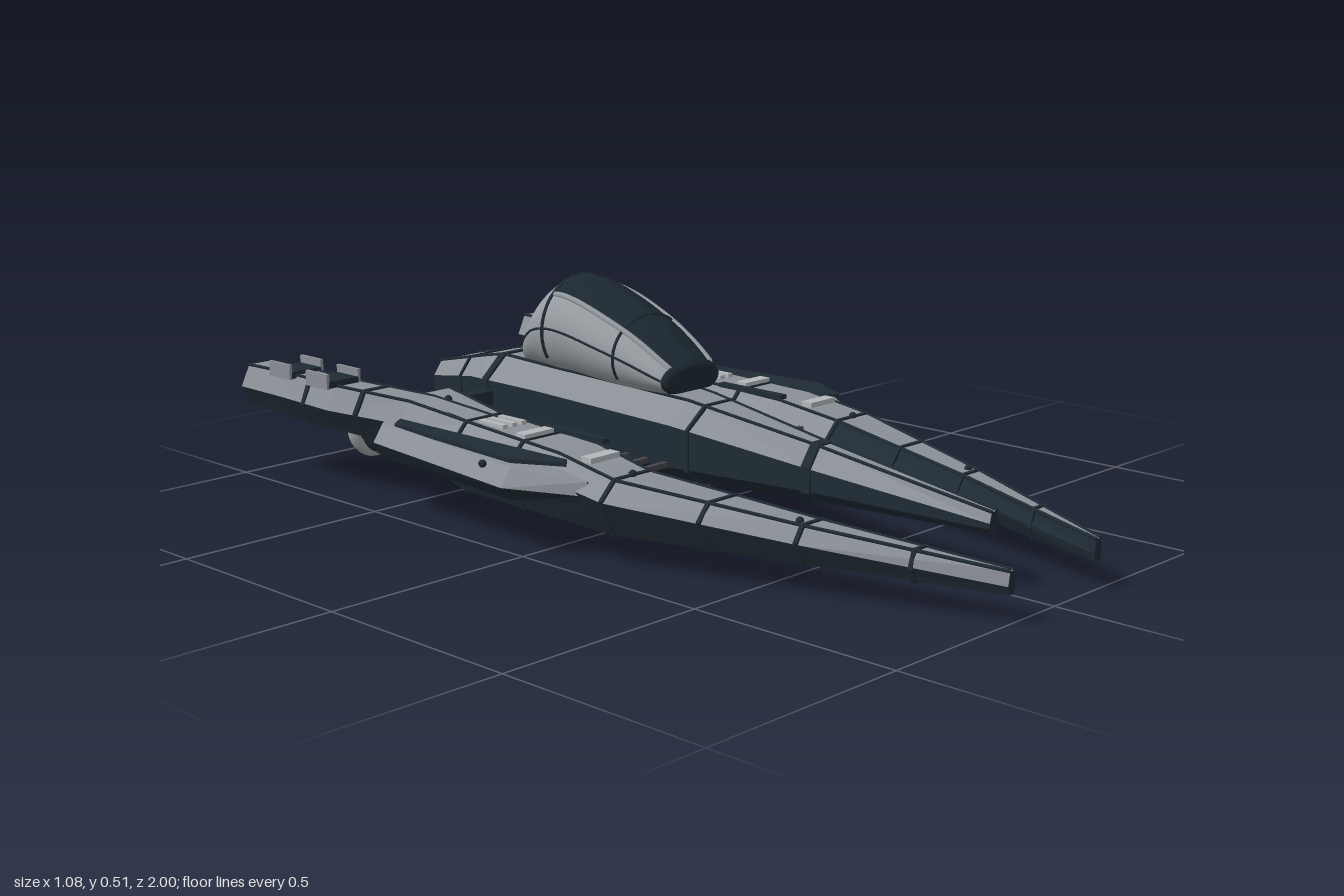
import * as THREE from 'three';
import { mergeVertices } from 'three/addons/utils/BufferGeometryUtils.js';

export function createModel() {
  const model = new THREE.Group();
  const paint = (name, color, more = {}) => Object.assign(new THREE.MeshStandardMaterial({ color, ...more }), { name });
  const hull = paint('hull grey', 0x8b9097);
  const dark = paint('dark slate', 0x1f2b34);
  const canopyGrey = paint('canopy grey', 0x979ca1, { side: THREE.DoubleSide });
  const glass = paint('canopy glass', 0x1b2730, { side: THREE.DoubleSide });
  const ringGrey = paint('ring grey', 0xa2a7aa);
  const metal = paint('engine metal', 0x45444a);
  const tabGrey = paint('tab grey', 0xb4b8bb);

  const add = (name, geo, mat, x = 0, y = 0, z = 0) => {
    const m = new THREE.Mesh(geo, mat);
    m.name = name;
    m.position.set(x, y, z);
    model.add(m);
    return m;
  };
  const box = (name, mat, w, h, d, x, y, z) => add(name, new THREE.BoxGeometry(w, h, d), mat, x, y, z);
  const rod = (name, mat, r, a, b) => {
    const A = new THREE.Vector3(...a), B = new THREE.Vector3(...b), d = B.clone().sub(A);
    const m = add(name, new THREE.CylinderGeometry(r, r, d.length(), 6), mat);
    m.position.copy(A).add(B).multiplyScalar(0.5);
    m.quaternion.setFromUnitVectors(new THREE.Vector3(0, 1, 0), d.normalize());
  };

  // Skin through cross-sections running front to back; pick(i, j) gives the material index of a strip
  function loft(name, rings, mats, pick, { side = 1, closed = true, caps = true, smooth = false } = {}) {
    const tris = mats.map(() => []);
    const put = (k, a, b, c) => {
      for (const p of side > 0 ? [a, b, c] : [a, c, b]) tris[k].push(p[0] * side, p[1], p[2]);
    };
    const n = rings[0].length;
    for (let i = 0; i < rings.length - 1; i++) {
      for (let j = 0; j < (closed ? n : n - 1); j++) {
        const q = (j + 1) % n, k = pick(i, j);
        const a = rings[i][j], b = rings[i][q], c = rings[i + 1][q], d = rings[i + 1][j];
        put(k, a, d, b);
        put(k, b, d, c);
      }
    }
    if (caps) {
      const f = rings[0], r = rings[rings.length - 1];
      for (let j = 1; j < n - 1; j++) {
        put(0, f[0], f[j], f[j + 1]);
        put(0, r[0], r[j + 1], r[j]);
      }
    }
    let geo = new THREE.BufferGeometry();
    geo.setAttribute('position', new THREE.Float32BufferAttribute(tris.flat(), 3));
    let start = 0;
    tris.forEach((t, k) => { geo.addGroup(start, t.length / 3, k); start += t.length / 3; });
    if (smooth) geo = mergeVertices(geo, 1e-5);
    geo.computeVertexNormals();
    return add(name, geo, mats);
  }

  // Cross-section of a hull at depth z, interpolated between stations
  function stationAt(st, z) {
    let i = 0;
    while (i < st.length - 2 && st[i + 1][0] > z) i++;
    const t = (st[i][0] - z) / (st[i][0] - st[i + 1][0]);
    return st[i].map((v, k) => v + (st[i + 1][k] - v) * t);
  }
  // Thin dark seam wrapped around a hull
  function seam(name, st, ring, z, width, side = 1) {
    const grow = (zz) => {
      const r = ring(stationAt(st, zz));
      const cx = r.reduce((s, p) => s + p[0], 0) / r.length, cy = r.reduce((s, p) => s + p[1], 0) / r.length;
      return r.map(([x, y, d]) => [x + 0.004 * Math.sign(x - cx), y + 0.004 * Math.sign(y - cy), d]);
    };
    loft(name, [grow(z + width / 2), grow(z - width / 2)], [dark], () => 0, { side });
  }
  // Dark seams along the lengthwise edges of a hull
  function edges(name, st, ring, ids, side = 1) {
    const rings = st.map(ring);
    for (const j of ids) {
      for (let i = 0; i < rings.length - 1; i++) {
        const [a, b] = [rings[i][j], rings[i + 1][j]].map(([x, y, z]) => [x * side, y, z]);
        rod(name, dark, 0.004, a, b);
      }
    }
  }

  // Fuselage: z, half width, keel y, chine y, shoulder y, roof half width, roof y
  const fuse = [
    [0.85, 0.015, 0.12, 0.13, 0.142, 0.008, 0.165],
    [0.4, 0.05, 0.105, 0.13, 0.18, 0.018, 0.226],
    [0.05, 0.108, 0.09, 0.13, 0.225, 0.045, 0.272],
    [-0.35, 0.137, 0.088, 0.13, 0.245, 0.09, 0.297],
    [-0.53, 0.135, 0.1, 0.14, 0.245, 0.075, 0.298],
    [-0.62, 0.105, 0.11, 0.145, 0.235, 0.068, 0.28],
    [-0.78, 0.085, 0.13, 0.16, 0.21, 0.06, 0.245],
  ];
  const fuseRing = ([z, w, yb, yl, ys, t, yt]) => [
    [w * 0.5, yb, z], [w, yl, z], [w, ys, z], [t, yt, z],
    [-t, yt, z], [-w, ys, z], [-w, yl, z], [-w * 0.5, yb, z]];
  loft('fuselage', fuse.map(fuseRing), [dark, hull], (i, j) => (j >= 2 && j <= 4 ? 1 : 0));
  for (const z of [0.4, -0.53]) seam('fuselageSeam', fuse, fuseRing, z, 0.022);
  for (const z of [0.1, -0.66]) seam('fuselageSeam', fuse, fuseRing, z, 0.007);
  edges('fuselageEdge', fuse, fuseRing, [3, 4]);
  box('bellyPlate', metal, 0.24, 0.008, 0.28, 0, 0.086, -0.04);
  box('bridgeBar', dark, 0.42, 0.035, 0.035, 0, 0.205, -0.52);

  // Canopy: bulging shell, glass down the middle; z, centre y, half width, half height
  const can = [
    [0.025, 0.305, 0.07, 0.03], [0.01, 0.312, 0.092, 0.04], [-0.08, 0.338, 0.108, 0.078],
    [-0.18, 0.362, 0.12, 0.103], [-0.27, 0.38, 0.125, 0.117], [-0.335, 0.383, 0.125, 0.121],
    [-0.39, 0.37, 0.118, 0.1], [-0.43, 0.34, 0.103, 0.065], [-0.45, 0.315, 0.085, 0.035]];
  const canZ = new THREE.CatmullRomCurve3(can.map((c) => new THREE.Vector3(c[0], 0, 0)), false, 'catmullrom');
  const canS = new THREE.CatmullRomCurve3(can.map((c) => new THREE.Vector3(c[1], c[2], c[3])), false, 'catmullrom');
  const canPoint = (t, deg, g = 1) => {
    const s = canS.getPoint(t), a = deg * Math.PI / 180;
    return [s.y * g * Math.cos(a), s.x + s.z * g * Math.sin(a), canZ.getPoint(t).x];
  };
  const canRings = [];
  for (let i = 0; i <= 32; i++) {
    canRings.push(Array.from({ length: 37 }, (_, j) => canPoint(i / 32, -45 + j * 7.5)));
  }
  loft('canopy', canRings, [glass, canopyGrey],
    (i, j) => (i < 4 || (i < 20 && j >= 12 && j < 24) ? 0 : 1), { closed: false, smooth: true });
  const canTube = (name, mat, r, pts) => add(name, new THREE.TubeGeometry(
    new THREE.CatmullRomCurve3(pts.map((p) => new THREE.Vector3(...p))), 24, r, 6), mat);
  const steps = (n, f) => Array.from({ length: n + 1 }, (_, i) => f(i / n));
  for (const deg of [45, 135]) canTube('canopyFrame', canopyGrey, 0.007, steps(10, (t) => canPoint(0.12 + 0.5 * t, deg)));
  for (const deg of [5, 175]) canTube('canopySeam', dark, 0.003, steps(12, (t) => canPoint(0.1 + 0.85 * t, deg)));
  canTube('canopyArch', dark, 0.005, steps(16, (t) => canPoint(0.635, -30 + 240 * t)));
  canTube('canopyArch', dark, 0.004, steps(16, (t) => canPoint(0.3, -30 + 240 * t)));
  canTube('windowBar', dark, 0.003, steps(10, (t) => canPoint(0.12 + 0.5 * t, 90)));

  // Side hulls: z, inner x, outer x, bottom y, shoulder y, top y
  const boom = [
    [1, 0.135, 0.16, 0.06, 0.078, 0.108],
    [0.6, 0.213, 0.315, 0.068, 0.112, 0.147],
    [0.19, 0.268, 0.452, 0.068, 0.145, 0.186],
    [0.02, 0.25, 0.45, 0.068, 0.165, 0.212],
    [-0.3, 0.245, 0.43, 0.065, 0.182, 0.225],
    [-0.5, 0.185, 0.41, 0.09, 0.19, 0.232],
    [-0.58, 0.165, 0.34, 0.14, 0.19, 0.228]];
  const prong = [
    [-0.25, 0.28, 0.42, 0.12, 0.18, 0.222],
    [-0.5, 0.29, 0.42, 0.13, 0.19, 0.24],
    [-0.7, 0.35, 0.475, 0.15, 0.2, 0.255],
    [-0.85, 0.382, 0.49, 0.16, 0.21, 0.265],
    [-1, 0.392, 0.5, 0.172, 0.215, 0.265]];
  const pod = [
    [0.13, 0.41, 0.44, 0.13, 0.145, 0.175],
    [-0.02, 0.41, 0.54, 0.125, 0.155, 0.195],
    [-0.49, 0.38, 0.505, 0.125, 0.165, 0.205],
    [-0.54, 0.38, 0.43, 0.13, 0.165, 0.205]];
  const boomRing = ([z, xi, xo, yb, ys, yt]) => {
    const w = xo - xi;
    return [[xo - 0.2 * w, yb, z], [xo, ys, z], [xo - 0.22 * w, yt, z],
      [xi + 0.22 * w, yt, z], [xi, ys, z], [xi + 0.2 * w, yb, z]];
  };
  const upper = (i, j) => (j >= 1 && j <= 3 ? 1 : 0);

  for (const s of [1, -1]) {
    loft('sideHull', boom.map(boomRing), [dark, hull], (i, j) => (i < 2 && j === 3 ? 0 : upper(i, j)), { side: s });
    loft('rearProng', prong.map(boomRing), [dark, hull], upper, { side: s });
    loft('outerPod', pod.map(boomRing), [dark, hull], upper, { side: s });
    for (const z of [0.82, 0.6, 0.4, 0.19, -0.1, -0.3]) seam('hullSeam', boom, boomRing, z, 0.008, s);
    for (const z of [-0.62, -0.78]) seam('prongSeam', prong, boomRing, z, 0.01, s);
    edges('hullEdge', boom, boomRing, [2, 3], s);
    edges('prongEdge', prong, boomRing, [2, 3], s);

    // Dark inset panel on the pod
    const panel = new THREE.Shape([[0.425, 0.06], [0.445, 0.08], [0.505, -0.03], [0.475, -0.45],
      [0.435, -0.48], [0.43, -0.15]].map(([x, z]) => new THREE.Vector2(x * s, z)));
    const panelGeo = new THREE.ExtrudeGeometry(panel, { depth: 0.009, bevelEnabled: false });
    add('podPanel', panelGeo.rotateX(Math.PI / 2), dark, 0, 0.21, 0);

    // Comb of short rods on the inner flank
    for (let i = 0; i < 7; i++) box('combRod', metal, 0.07, 0.012, 0.013, s * 0.225, 0.165, 0.12 - i * 0.058);

    // Deck fittings
    for (const z of [0.09, -0.115]) box('deckTab', tabGrey, 0.085, 0.012, 0.03, s * 0.355, z > 0 ? 0.208 : 0.224, z);
    for (let i = 0; i < 3; i++) box('deckSlat', tabGrey, 0.014, 0.01, 0.08, s * (0.31 + i * 0.028), 0.225, -0.24);
    box('deckStrip', dark, 0.018, 0.01, 0.2, s * 0.29, 0.222, -0.06);

    // Raised trays on the prong
    for (const [x, y, z] of [[0.436, 0.264, -0.865], [0.43, 0.26, -0.73]]) {
      box('prongTray', dark, 0.085, 0.016, 0.08, s * x, y, z);
      for (const d of [-0.045, 0.045]) box('trayRail', hull, 0.008, 0.036, 0.08, s * (x + d), y + 0.008, z);
    }
    // Small knobs
    for (const [x, y, z] of [[0.3, 0.235, -0.47], [0.52, 0.19, -0.1], [0.36, 0.19, 0.19], [0.28, 0.15, 0.58]]) {
      add('knob', new THREE.SphereGeometry(0.009, 8, 6), dark, s * x, y, z);
    }

    // Engine: stacked drums, ribs and end rings along z
    const ex = s * 0.18, ey = 0.082;
    const drum = (name, mat, r, z0, z1) => {
      const g = new THREE.CylinderGeometry(r, r, z0 - z1, 24).rotateX(Math.PI / 2);
      add(name, g, mat, ex, ey, (z0 + z1) / 2);
    };
    const ring = (name, mat, R, r, z) => add(name, new THREE.TorusGeometry(R, r, 10, 28), mat, ex, ey, z);
    drum('engineCore', dark, 0.058, -0.5, -0.885);
    for (let i = 0; i < 3; i++) drum('engineDrum', metal, 0.071, -0.575 - i * 0.083, -0.65 - i * 0.083);
    for (let i = 0; i < 4; i++) ring('engineRib', dark, 0.066, 0.007, -0.57 - i * 0.083);
    drum('engineCollar', dark, 0.066, -0.83, -0.87);
    ring('intakeRing', ringGrey, 0.057, 0.024, -0.515);
    ring('exhaustRing', ringGrey, 0.06, 0.021, -0.9);
    ring('exhaustInnerRing', ringGrey, 0.027, 0.006, -0.888);
    for (let i = 0; i < 8; i++) {
      const a = i * Math.PI / 4, c = Math.cos(a), d = Math.sin(a);
      rod('exhaustSpoke', metal, 0.004, [ex + c * 0.027, ey + d * 0.027, -0.889], [ex + c * 0.05, ey + d * 0.05, -0.889]);
      rod('engineRail', dark, 0.005, [ex + c * 0.069, ey + d * 0.069, -0.54], [ex + c * 0.069, ey + d * 0.069, -0.83]);
    }
    box('engineMount', dark, 0.05, 0.04, 0.1, ex, 0.145, -0.7);
    box('enginePylon', metal, 0.06, 0.06, 0.08, ex + s * 0.02, 0.155, -0.54);
  }
  return model;
}
